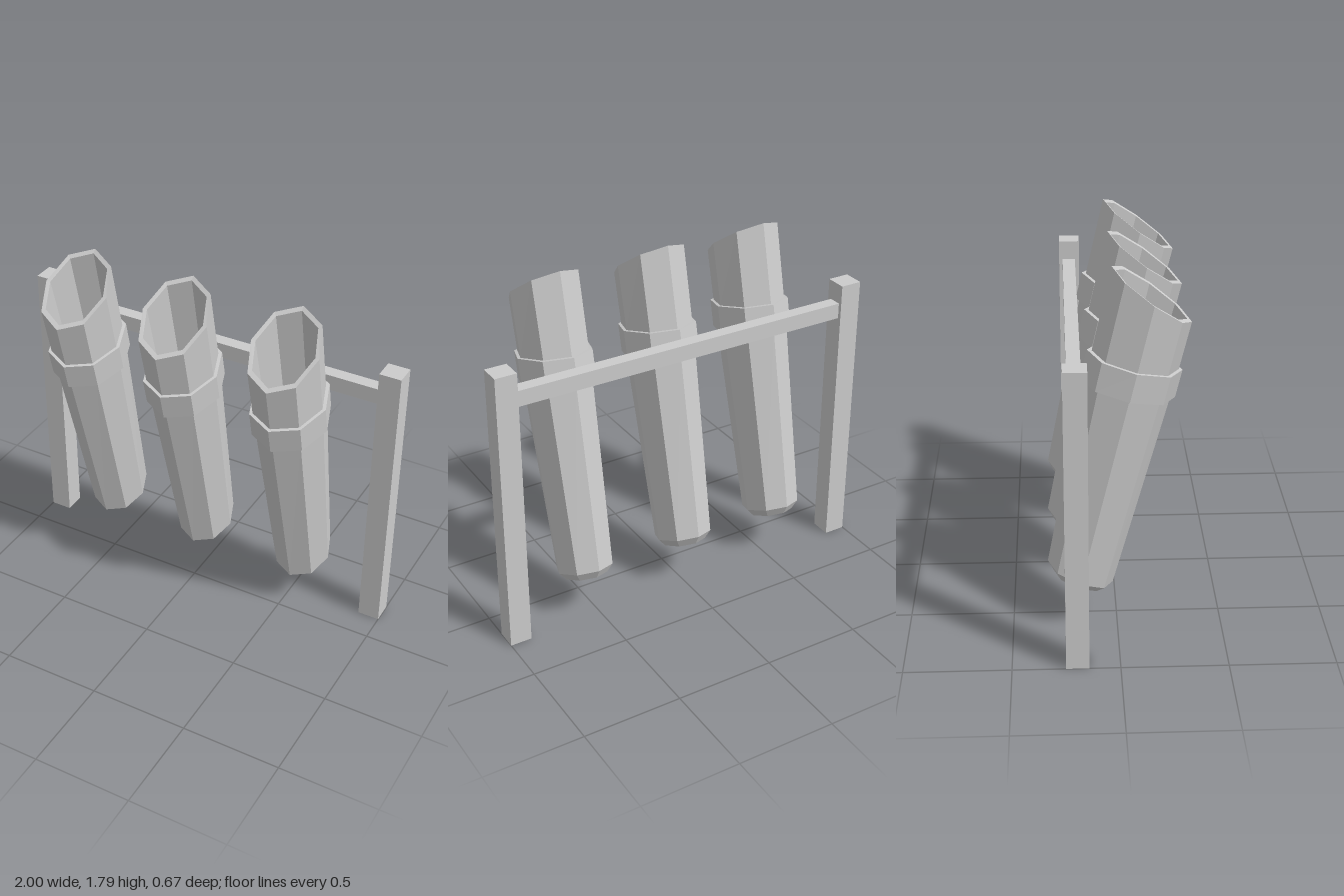
import * as THREE from 'three';

const SIDES = 8;
const material = new THREE.MeshStandardMaterial({ color: 0xcccccc, flatShading: true });

// Each ring is a tilted octagon: [front z, front y, back z, back y, half width]
function ringPoint([fz, fy, bz, by, w], k) {
  const a = (k / SIDES) * Math.PI * 2;
  const c = Math.cos(a) / 2;
  return [w * Math.sin(a), (fy + by) / 2 + (fy - by) * c, (fz + bz) / 2 + (fz - bz) * c];
}

// Skin the rings in order; a ring of zero width closes an end as a fan
function loft(rings) {
  const positions = [];
  for (let i = 0; i < rings.length - 1; i++) {
    const low = rings[i], high = rings[i + 1];
    for (let k = 0; k < SIDES; k++) {
      const a = ringPoint(low, k), b = ringPoint(low, k + 1);
      const c = ringPoint(high, k + 1), d = ringPoint(high, k);
      if (low[4] > 0) positions.push(...a, ...b, ...c);
      if (high[4] > 0) positions.push(...a, ...c, ...d);
    }
  }
  const geometry = new THREE.BufferGeometry();
  geometry.setAttribute('position', new THREE.Float32BufferAttribute(positions, 3));
  geometry.computeVertexNormals();
  return geometry;
}

function addMesh(parent, name, geometry, x = 0, y = 0, z = 0) {
  const mesh = new THREE.Mesh(geometry, material);
  mesh.name = name;
  mesh.position.set(x, y, z);
  parent.add(mesh);
}

export function createModel() {
  const group = new THREE.Group();
  group.name = 'quiverRack';

  // Two posts and the crossbar between them
  const postGeometry = new THREE.BoxGeometry(0.11, 1.465, 0.107);
  for (const side of [1, -1]) {
    addMesh(group, side > 0 ? 'leftPost' : 'rightPost', postGeometry, side * 0.945, 0.7325, -0.198);
  }
  addMesh(group, 'crossbar', new THREE.BoxGeometry(1.78, 0.08, 0.066), 0, 1.325, -0.2);

  // Hollow tube: chamfered base, tapered body, slanted mouth, inner wall and floor
  const tubeGeometry = loft([
    [-0.185, 0.225, -0.185, 0.225, 0],
    [-0.066, 0.18, -0.303, 0.27, 0.108],
    [-0.02, 0.203, -0.33, 0.324, 0.139],
    [0.245, 1.17, -0.15, 1.255, 0.165],
    [0.28, 1.3, -0.115, 1.395, 0.168],
    [0.335, 1.525, -0.025, 1.79, 0.17],
    [0.313, 1.54, -0.008, 1.773, 0.149],
    [0.185, 1.1, -0.13, 1.18, 0.138],
    [0.028, 1.14, 0.028, 1.14, 0],
  ]);

  // Raised band around the tube
  const collarGeometry = loft([
    [0.24, 1.17, -0.145, 1.255, 0.16],
    [0.265, 1.162, -0.168, 1.262, 0.184],
    [0.297, 1.295, -0.137, 1.4, 0.184],
    [0.275, 1.3, -0.11, 1.395, 0.16],
  ]);

  for (const x of [-0.56, -0.02, 0.548]) {
    const quiver = new THREE.Group();
    quiver.name = 'quiver';
    quiver.position.x = x;
    addMesh(quiver, 'tube', tubeGeometry);
    addMesh(quiver, 'collar', collarGeometry);
    group.add(quiver);
  }
  return group;
}
